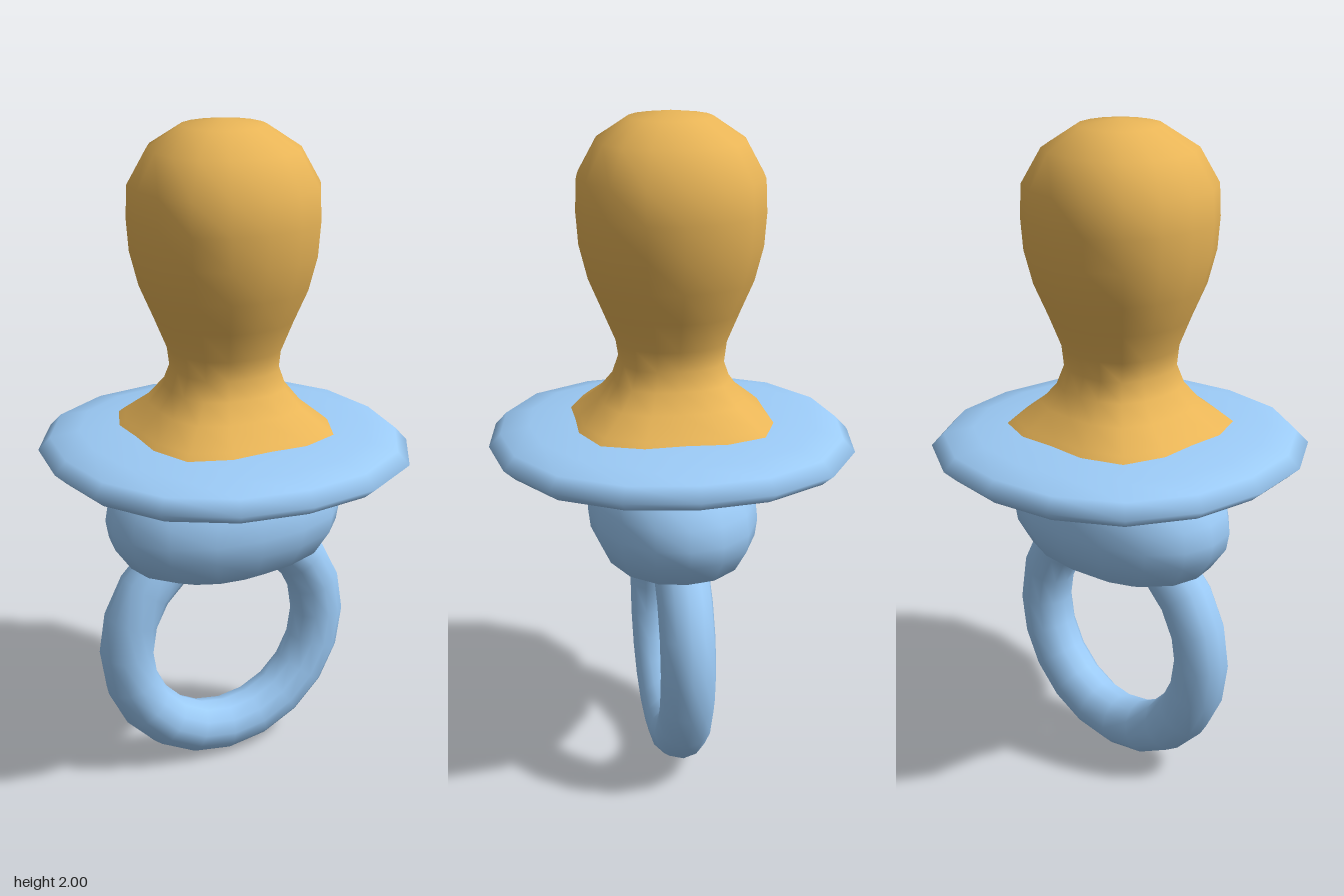
import * as THREE from 'three';
import { mergeVertices } from 'three/addons/utils/BufferGeometryUtils.js';

const blue = new THREE.MeshStandardMaterial({ color: 0x9ccbf7 });
const amber = new THREE.MeshStandardMaterial({ color: 0xe9b557 });

// Smooth 16-sided turned body; each profile point is [radius, y, squareness],
// where squareness pushes the diagonals outward.
function turned(name, profile, material, depth = 1) {
  const geo = new THREE.LatheGeometry(profile.map(([r, y]) => new THREE.Vector2(r, y)), 16);
  const pos = geo.attributes.position;
  for (let i = 0; i < pos.count; i++) {
    const x = pos.getX(i), z = pos.getZ(i);
    const square = profile[i % profile.length][2];
    const k = 1 + square * (1 - Math.cos(4 * Math.atan2(x, z))) / 2;
    pos.setX(i, x * k);
    pos.setZ(i, z * k * depth);
  }
  // weld the seam and poles so the shading is continuous
  geo.deleteAttribute('uv');
  geo.deleteAttribute('normal');
  const welded = mergeVertices(geo, 1e-4);
  welded.computeVertexNormals();
  const mesh = new THREE.Mesh(welded, material);
  mesh.name = name;
  return mesh;
}

export function createModel() {
  const group = new THREE.Group();
  group.name = 'pacifier';

  // soft bulb with a narrow neck and a squarish flared foot
  group.add(turned('teat', [
    [0.3, 1.095, 0.16], [0.27, 1.122, 0.16], [0.21, 1.175, 0.13], [0.17, 1.23, 0.1],
    [0.153, 1.285, 0.08], [0.162, 1.345, 0.06], [0.2, 1.435, 0.04], [0.24, 1.53, 0.04],
    [0.265, 1.63, 0.04], [0.272, 1.725, 0.04], [0.268, 1.82, 0.04], [0.213, 1.92, 0.04],
    [0.12, 1.983, 0.02], [0, 2, 0],
  ], amber));

  // flat mouth shield
  group.add(turned('shield', [
    [0, 0.95, 0], [0.2, 0.954, 0.04], [0.33, 0.962, 0.04], [0.42, 0.975, 0.04],
    [0.505, 1.005, 0.04], [0.54, 1.037, 0.04], [0.505, 1.075, 0.04], [0.42, 1.095, 0.04],
    [0.28, 1.11, 0.04], [0, 1.118, 0],
  ], blue));

  // oval knob behind the shield
  group.add(turned('knob', [
    [0, 0.625, 0], [0.1, 0.63, 0.03], [0.2, 0.648, 0.04], [0.31, 0.695, 0.04],
    [0.36, 0.765, 0.04], [0.37, 0.82, 0.04], [0.36, 0.88, 0.04], [0.315, 0.96, 0.04],
    [0.2, 1, 0.04], [0, 1.015, 0],
  ], blue, 0.68));

  // pull ring hanging from the knob
  const ring = new THREE.Mesh(new THREE.TorusGeometry(0.333, 0.082, 12, 20), blue);
  ring.name = 'pullRing';
  ring.position.y = 0.42;
  group.add(ring);

  return group;
}
